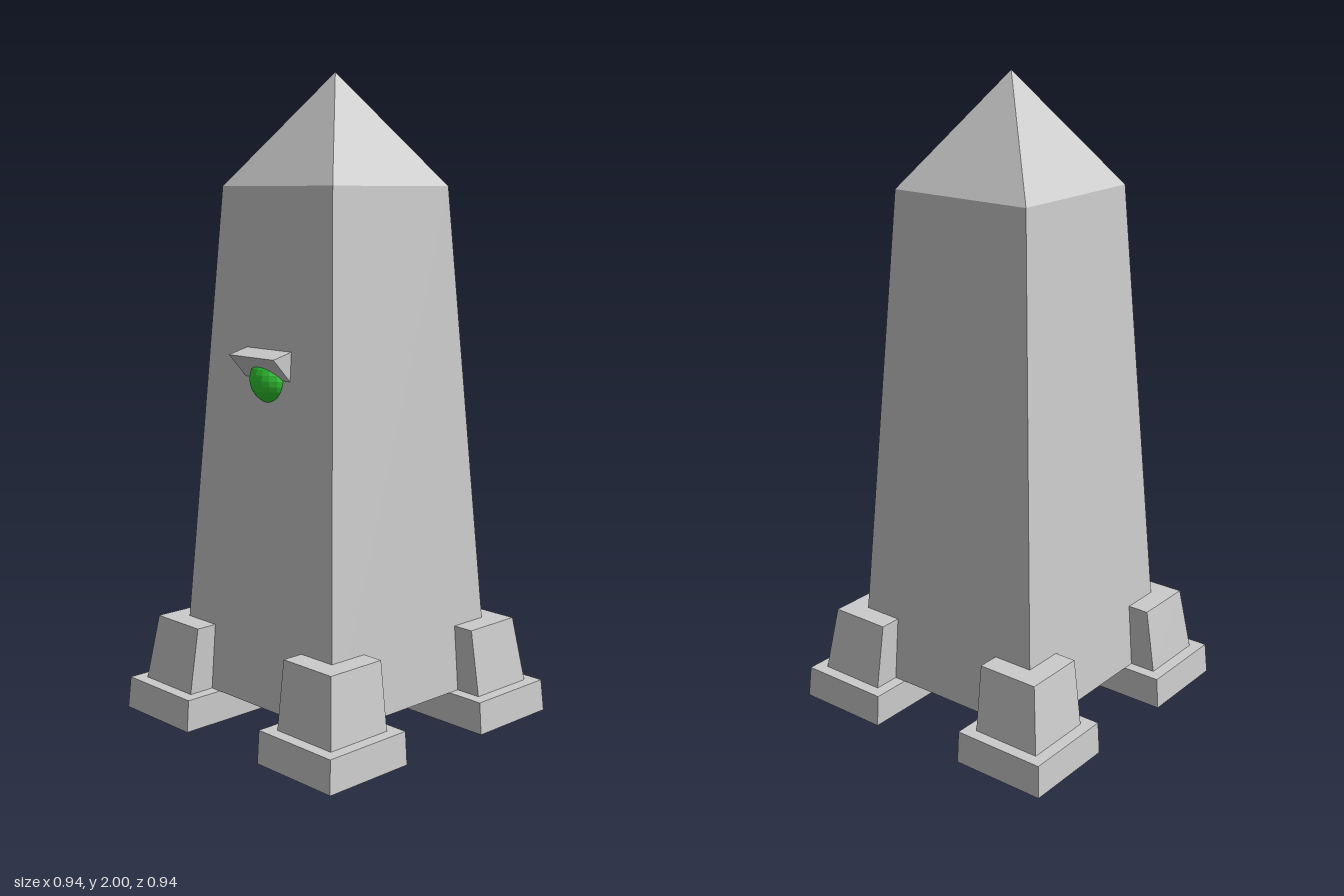
import * as THREE from 'three';

const stone = new THREE.MeshStandardMaterial({ color: 0xcccccc, flatShading: true });
const green = new THREE.MeshStandardMaterial({ color: 0x33cc33, flatShading: true });

function addMesh(parent, name, geometry, material = stone) {
  const mesh = new THREE.Mesh(geometry, material);
  mesh.name = name;
  parent.add(mesh);
  return mesh;
}

// Block on the diagonal x = z, spanning inner..outer on both axes, tapering from bottom to top
function taperedBlock(y0, y1, [inner0, outer0], [inner1, outer1]) {
  const g = new THREE.BoxGeometry(1, 1, 1);
  const p = g.attributes.position;
  for (let i = 0; i < p.count; i++) {
    const top = p.getY(i) > 0;
    const a = top ? inner1 : inner0;
    const b = top ? outer1 : outer0;
    p.setXYZ(i, p.getX(i) > 0 ? b : a, top ? y1 : y0, p.getZ(i) > 0 ? b : a);
  }
  g.computeVertexNormals();
  return g;
}

export function createModel() {
  const model = new THREE.Group();
  model.name = 'obelisk';

  // Tapering shaft and its pyramid tip
  addMesh(model, 'shaft', taperedBlock(0.1, 1.66, [-0.342, 0.342], [-0.243, 0.243]));
  const tip = new THREE.ConeGeometry(0.243 * Math.SQRT2, 0.34, 4, 1, true);
  tip.rotateY(Math.PI / 4);
  tip.translate(0, 1.83, 0);
  addMesh(model, 'tip', tip);

  // Four corner feet, each a buttress on a flat base
  const base = taperedBlock(0, 0.1, [0.165, 0.472], [0.165, 0.465]);
  const buttress = taperedBlock(0.1, 0.305, [0.203, 0.427], [0.199, 0.398]);
  const names = ['frontLeftFoot', 'backLeftFoot', 'backRightFoot', 'frontRightFoot'];
  names.forEach((name, i) => {
    const foot = new THREE.Group();
    foot.name = name;
    addMesh(foot, 'footBase', base);
    addMesh(foot, 'buttress', buttress);
    foot.rotation.y = i * Math.PI / 2;
    model.add(foot);
  });

  // Glowing eye half sunk into the front face
  const eye = addMesh(model, 'eye', new THREE.SphereGeometry(0.076, 20, 14), green);
  eye.position.set(0, 1.092, 0.25);

  // Wedge-shaped brow: profile in (z, y), extruded across x
  const profile = new THREE.Shape([
    new THREE.Vector2(-0.25, 1.063),
    new THREE.Vector2(-0.25, 1.187),
    new THREE.Vector2(-0.343, 1.163),
  ]);
  const brow = new THREE.ExtrudeGeometry(profile, { depth: 0.2, bevelEnabled: false });
  brow.translate(0, 0, -0.1);
  brow.rotateY(Math.PI / 2);
  addMesh(model, 'brow', brow);

  return model;
}
